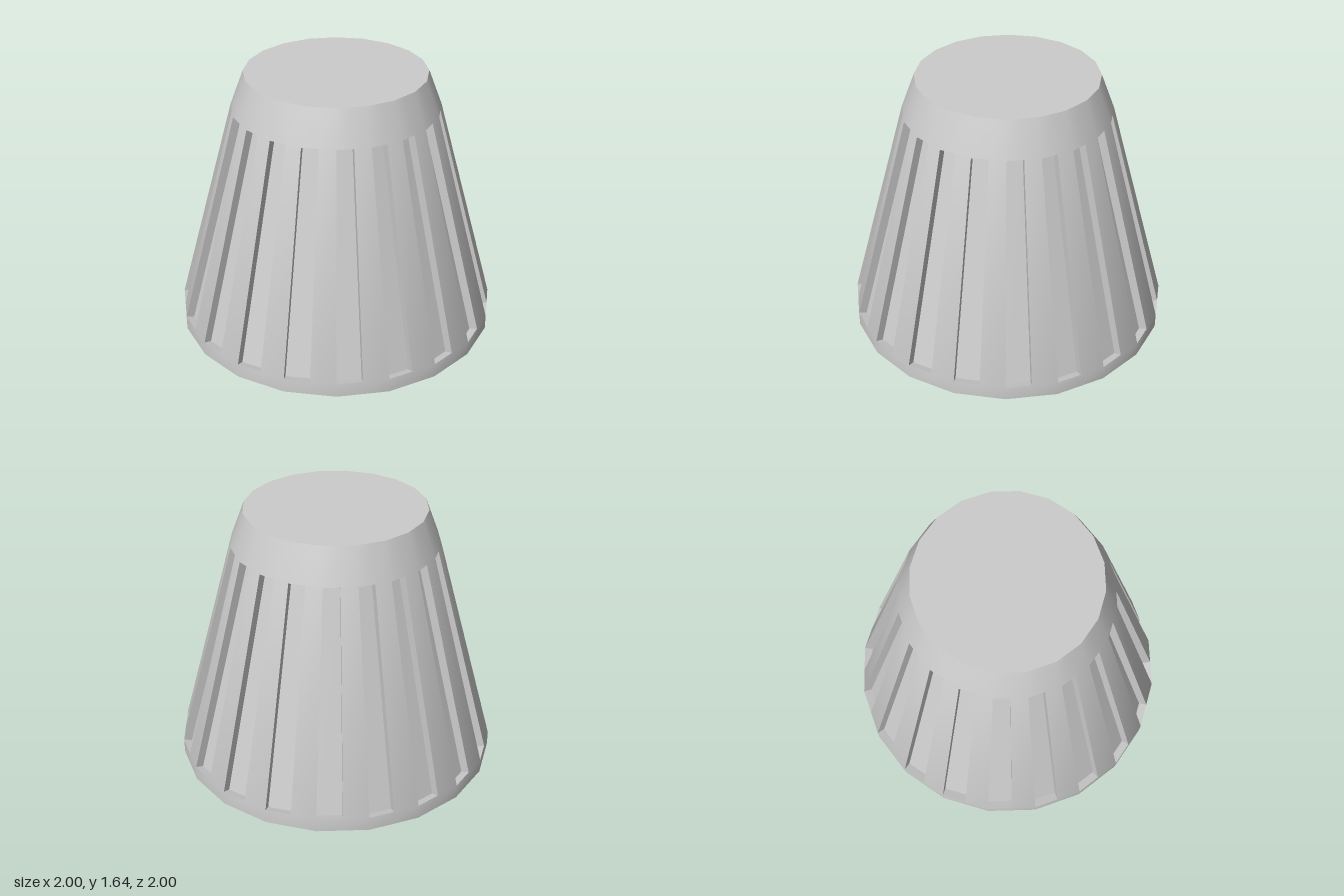
import * as THREE from 'three';
import { toCreasedNormals } from 'three/addons/utils/BufferGeometryUtils.js';

const SIDES = 20;
// radius and height of each ring, bottom to top
const RINGS = [[1, 0], [1, 0.09], [0.637, 1.428], [0.555, 1.645]];

// Point on a facet edge: i counts half facets, odd values are chord midpoints
function ringPoint([r, y], i) {
  const corner = (k) => {
    const a = (k * Math.PI * 2) / SIDES;
    return new THREE.Vector3(Math.sin(a) * r, y, Math.cos(a) * r);
  };
  return corner(Math.floor(i / 2)).lerp(corner(Math.ceil(i / 2)), 0.5);
}

function buildGeometry(quads) {
  const pos = [];
  for (const [a, b, c, d] of quads) {
    for (const p of [a, b, c, a, c, d]) pos.push(p.x, p.y, p.z);
  }
  const geo = new THREE.BufferGeometry();
  geo.setAttribute('position', new THREE.Float32BufferAttribute(pos, 3));
  return toCreasedNormals(geo, 0.6);
}

function panel(low, high, i) {
  return [ringPoint(low, i), ringPoint(low, i + 1), ringPoint(high, i + 1), ringPoint(high, i)];
}

export function createModel() {
  const group = new THREE.Group();
  const material = new THREE.MeshStandardMaterial({ color: 0xcccccc });
  const add = (name, geo) => {
    const mesh = new THREE.Mesh(geo, material);
    mesh.name = name;
    group.add(mesh);
    return mesh;
  };

  const skin = [];
  const grooves = [];
  for (let i = 0; i < SIDES * 2; i++) {
    // Base band and collar
    skin.push(panel(RINGS[0], RINGS[1], i), panel(RINGS[2], RINGS[3], i));
    const outer = panel(RINGS[1], RINGS[2], i);
    if (i % 2) {
      // Rib: the raised half of each facet
      skin.push(outer);
      continue;
    }
    // Groove: the other half, sunk along the facet normal
    const a = ((i + 1) * Math.PI) / SIDES;
    const inner = outer.map((p, k) => p.clone().add(
      new THREE.Vector3(-Math.sin(a) * 0.05, k < 2 ? -0.014 : -0.02, -Math.cos(a) * 0.05)));
    grooves.push(inner);
    for (let k = 0; k < 4; k++) {
      const n = (k + 1) % 4;
      grooves.push([outer[k], outer[n], inner[n], inner[k]]);
    }
  }
  add('ribbedBody', buildGeometry(skin));
  add('grooves', buildGeometry(grooves));

  // Flat end caps
  const cap = (name, [r, y], tilt) => {
    const mesh = add(name, new THREE.CircleGeometry(r, SIDES));
    mesh.rotation.x = tilt;
    mesh.position.y = y;
  };
  cap('topCap', RINGS[3], -Math.PI / 2);
  cap('bottomCap', RINGS[0], Math.PI / 2);
  return group;
}
